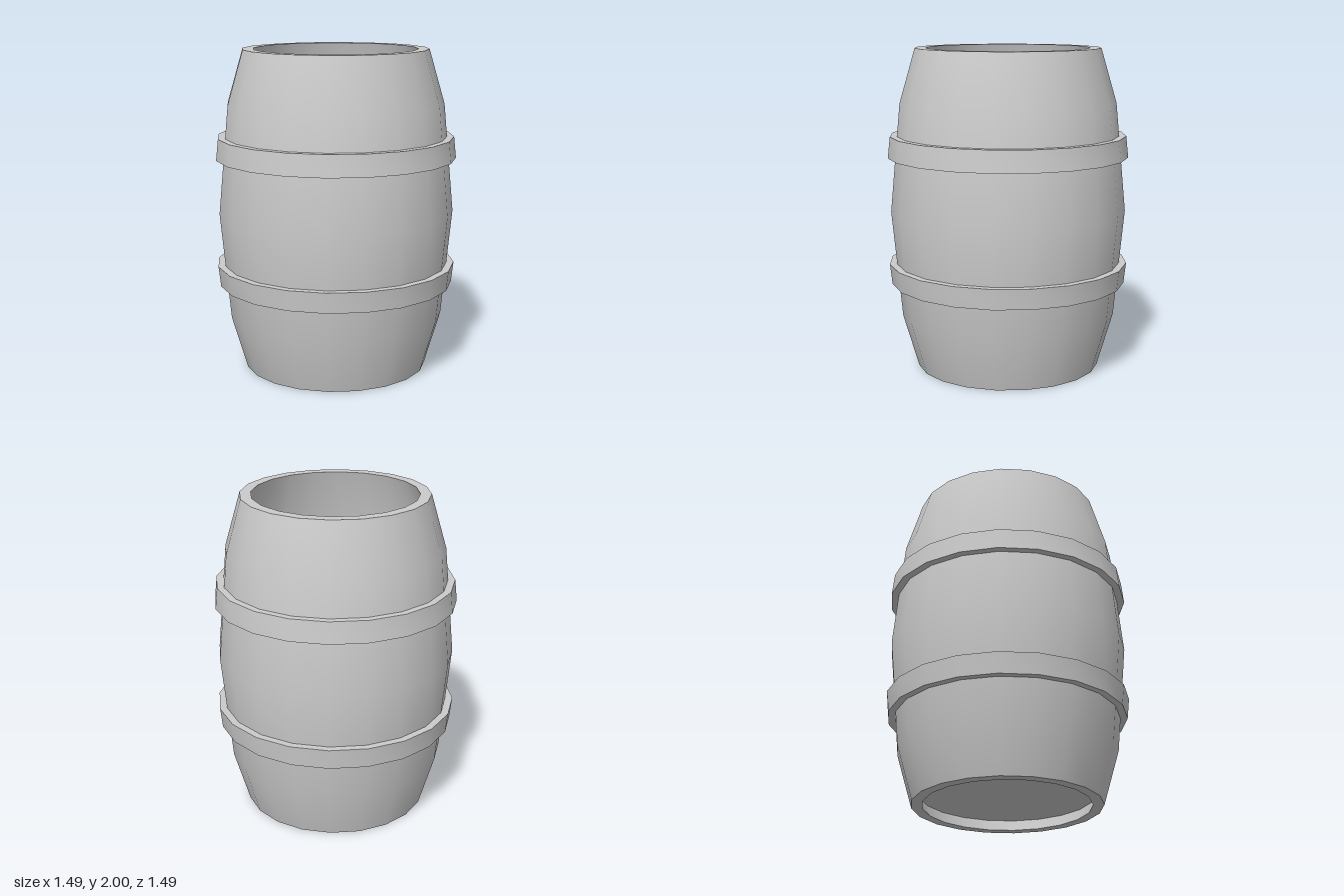
import * as THREE from 'three';
import { toCreasedNormals } from 'three/addons/utils/BufferGeometryUtils.js';

const SIDES = 20;
const WALL = 0.067;

export function createModel() {
  const group = new THREE.Group();
  group.name = 'barrel';
  const material = new THREE.MeshStandardMaterial({ color: 0xcccccc });

  // Revolves a closed profile; soft bends stay smooth, corners stay sharp
  const addRing = (name, profile) => {
    const points = [...profile, profile[0]].map(([r, y]) => new THREE.Vector2(r, y));
    const geometry = toCreasedNormals(new THREE.LatheGeometry(points, SIDES), 0.5);
    const mesh = new THREE.Mesh(geometry, material);
    mesh.name = name;
    group.add(mesh);
  };

  // Bulging wall, open at the top: up the outside, down the inside
  const outer = [[0.573, 0], [0.67, 0.333], [0.733, 1], [0.67, 1.667], [0.573, 2]];
  const inner = outer.map(([r, y]) => [r - WALL, y]).reverse();
  addRing('wall', [...outer, ...inner]);

  // Hoops, tapered with the wall and mirrored about mid height
  addRing('lowerHoop', [[0.66, 0.54], [0.733, 0.54], [0.747, 0.667], [0.66, 0.667]]);
  addRing('upperHoop', [[0.66, 1.333], [0.747, 1.333], [0.733, 1.465], [0.66, 1.465]]);

  // Floor, set slightly above the bottom rim
  const floor = new THREE.Mesh(new THREE.CylinderGeometry(0.55, 0.535, 0.05, SIDES), material);
  floor.name = 'floor';
  floor.position.y = 0.092;
  group.add(floor);

  return group;
}
